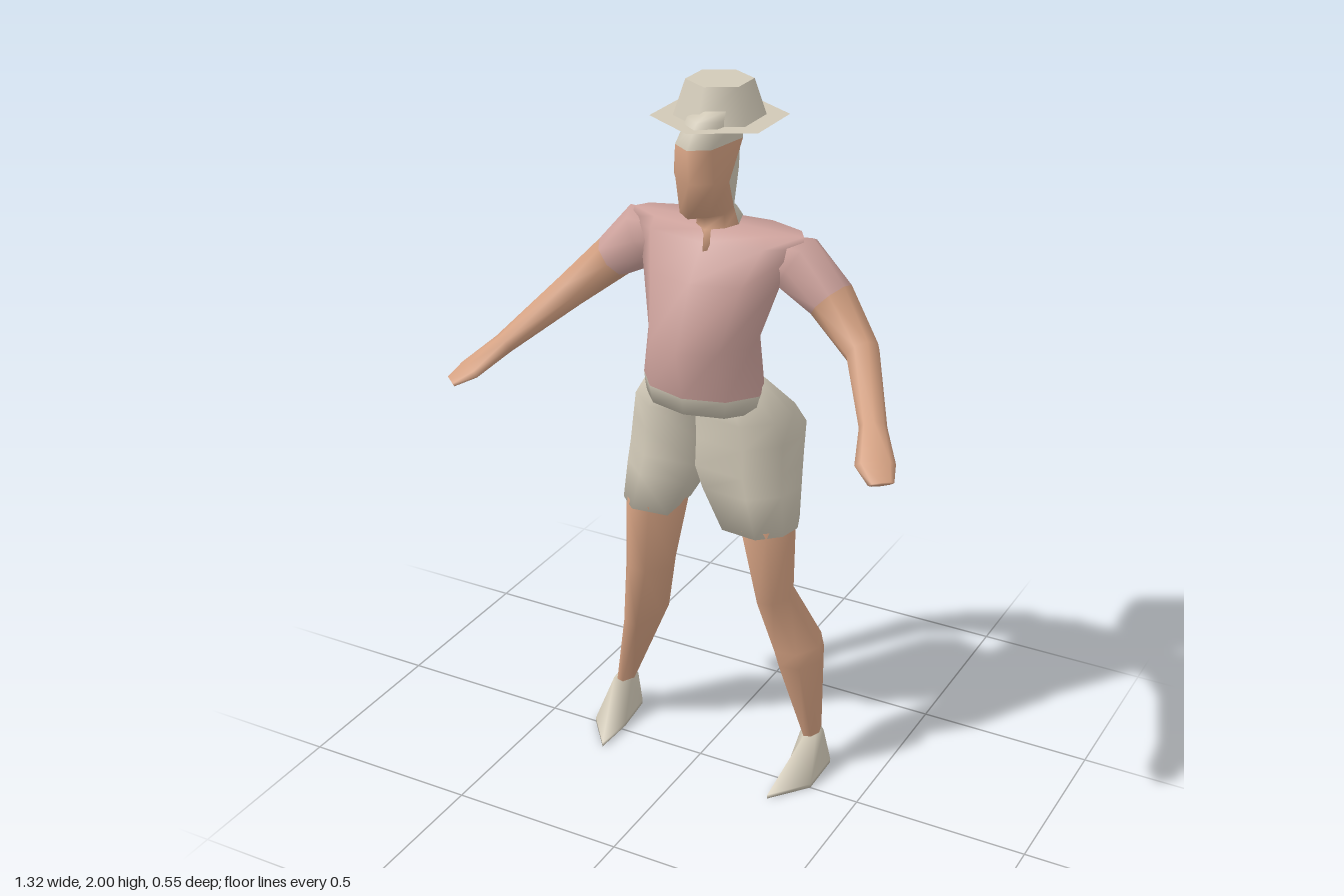
import * as THREE from 'three';

const mat = (name, color) => Object.assign(new THREE.MeshStandardMaterial({ color }), { name });

// Smooth capped skin over rings of points; pick(row, side) returns a material index.
function loft(name, rings, mats, pick = () => 0) {
  const n = rings[0].length, last = rings.length - 1;
  const pts = rings.flat();
  const faces = mats.map(() => []);
  rings.slice(0, last).forEach((_, i) => {
    for (let j = 0; j < n; j++) {
      const a = i * n + j, b = i * n + (j + 1) % n;
      faces[pick(i, j)].push([a, b, b + n], [a, b + n, a + n]);
    }
  });
  // end caps
  for (const i of [0, last]) {
    const c = new THREE.Vector3();
    rings[i].forEach(p => c.addScaledVector(p, 1 / n));
    const k = pts.push(c) - 1;
    for (let j = 0; j < n; j++) {
      const a = i * n + j, b = i * n + (j + 1) % n;
      faces[pick(i ? last - 1 : 0, j)].push(i ? [a, b, k] : [b, a, k]);
    }
  }
  // turn all faces outward
  let volume = 0;
  const v = new THREE.Vector3();
  faces.flat().forEach(([a, b, c]) => { volume += v.crossVectors(pts[a], pts[b]).dot(pts[c]); });
  if (volume < 0) faces.flat().forEach(f => f.reverse());
  const geo = new THREE.BufferGeometry().setFromPoints(pts);
  geo.setIndex(faces.flat(2));
  let start = 0;
  faces.forEach((f, m) => { geo.addGroup(start, f.length * 3, m); start += f.length * 3; });
  geo.computeVertexNormals();
  const mesh = new THREE.Mesh(geo, mats);
  mesh.name = name;
  return mesh;
}

// Level ring: a unit outline stretched to the given bounds.
const level = (shape, s = 1) => ([y, x0, x1, z0, z1]) => shape.map(([u, w]) => new THREE.Vector3(
  s * ((x0 + x1) / 2 + u * (x1 - x0) / 2), y, (z0 + z1) / 2 + w * (z1 - z0) / 2));

// Rings square to a path of [x, y, z, thickness radius, width radius].
function pathRings(stations, s, sides = 8) {
  const p = stations.map(([x, y, z]) => new THREE.Vector3(x, y, z));
  return stations.map(([, , , ra, rb], i) => {
    const t = p[Math.min(i + 1, p.length - 1)].clone().sub(p[Math.max(i - 1, 0)]).normalize();
    const side = new THREE.Vector3(0, 1, 0).cross(t).normalize();
    const up = t.clone().cross(side);
    return Array.from({ length: sides }, (_, j) => {
      const a = j / sides * Math.PI * 2;
      const q = p[i].clone().addScaledVector(up, ra * Math.cos(a)).addScaledVector(side, rb * Math.sin(a));
      q.x *= s;
      return q;
    });
  });
}

export function createModel() {
  const skin = mat('skin', 0xd3a081);
  const shirt = mat('shirt pink', 0xcda29c);
  const cream = mat('cream', 0xd2cab8);
  const brimMat = mat('brim cream', 0xd0c8b6);
  brimMat.side = THREE.DoubleSide;
  const model = new THREE.Group();
  model.name = 'standingFigure';

  // Torso with the waistband below the shirt
  const torsoShape = [[0, 1], [.65, .72], [1, .05], [.9, -.5], [.5, -1], [0, -.92],
    [-.5, -1], [-.9, -.5], [-1, .05], [-.65, .72]];
  model.add(loft('torso', [
    [1.14, -.165, .165, -.10, .095],
    [1.19, -.175, .175, -.125, .105],
    [1.33, -.155, .155, -.145, .138],
    [1.50, -.205, .205, -.19, .065],
    [1.59, -.255, .255, -.18, -.005],
    [1.62, -.25, .25, -.168, -.03],
  ].map(level(torsoShape)), [shirt, cream], i => (i === 0 ? 1 : 0)));

  // Neck and head: y, centre x, half width, back z, front z, hairline z
  const headRings = [
    [1.575, .015, .03, -.15, .015, -.08],
    [1.62, 0, .06, -.17, -.02, -.10],
    [1.655, 0, .055, -.14, -.025, -.09],
    [1.67, -.01, .06, -.125, .05, -.09],
    [1.77, .003, .08, -.115, .07, 0],
    [1.86, 0, .075, -.135, .072, -.09],
    [1.92, .005, .066, -.145, .03, -.08],
    [1.942, .025, .04, -.12, .018, -.06],
  ].map(([y, cx, w, z0, z1, s]) => [[0, z1], [.7, z1 - .035], [1, s], [.6, z0],
    [-.6, z0], [-1, s], [-.7, z1 - .035]].map(([u, z]) => new THREE.Vector3(cx + u * w, y, z)));
  model.add(loft('head', headRings, [skin, cream],
    (i, j) => (i >= 5 || (j >= 2 && j <= 4) ? 1 : 0)));

  // Six-sided hat with a flat brim
  const hat = new THREE.Group();
  hat.name = 'hat';
  const crown = new THREE.Mesh(new THREE.CylinderGeometry(.088, .12, .095, 6), cream);
  crown.name = 'hatCrown';
  crown.position.y = .0475;
  const brim = new THREE.Mesh(
    new THREE.RingGeometry(.1, .18, 6, 1, Math.PI / 2).rotateX(-Math.PI / 2), brimMat);
  brim.name = 'hatBrim';
  hat.add(crown, brim);
  hat.position.set(0, 1.905, -.105);
  model.add(hat);

  const shortsShape = [[-1, .9], [.2, 1], [.85, .5], [1, -.1], [.75, -.65], [.05, -1], [-.6, -.8], [-1, -.4]];
  const legShape = [[-.3, 1], [.5, .85], [1, .1], [.6, -.8], [0, -1], [-.7, -.7], [-1, .1]];
  const footShape = [[.27, .105], [.355, 0], [.352, -.14], [.32, -.19], [.28, -.15], [.265, -.02]];
  const ankleShape = [[.3, -.062], [.333, -.075], [.337, -.12], [.31, -.148], [.282, -.13], [.28, -.085]];
  const legs = {
    left: [
      [.11, .285, .332, -.143, -.067], [.36, .19, .33, -.20, -.02], [.41, .175, .328, -.188, -.012],
      [.56, .14, .247, -.147, 0], [.80, .09, .256, -.165, .042]],
    right: [
      [.11, .283, .335, -.143, -.067], [.36, .18, .30, -.20, -.02],
      [.56, .125, .277, -.147, 0], [.80, .073, .264, -.165, .042]],
  };

  for (const [side, s] of [['left', 1], ['right', -1]]) {
    // Arm: sleeve, bare arm and flat hand
    model.add(loft(side + 'Arm', pathRings([
      [.17, 1.55, -.11, .06, .06],
      [.225, 1.54, -.11, .088, .07],
      [.325, 1.457, -.11, .062, .068],
      [.44, 1.35, -.062, .052, .046],
      [.55, 1.235, .11, .026, .036],
      [.60, 1.185, .205, .016, .052],
      [.635, 1.158, .245, .007, .034],
    ], s), [shirt, skin], i => (i < 2 ? 0 : 1)));

    // Half of the shorts, meeting its mirror at the middle
    model.add(loft(side + 'Shorts', [
      [.785, .085, .262, -.168, .045],
      [.90, .025, .256, -.215, .048],
      [.96, 0, .252, -.24, .045],
      [1.04, 0, .247, -.265, .04],
      [1.11, 0, .23, -.21, .04],
      [1.20, 0, .168, -.125, .04],
    ].map(level(shortsShape, s)), [cream]));

    model.add(loft(side + 'Leg', legs[side].map(level(legShape, s)), [skin]));

    // Wedge shoe
    model.add(loft(side + 'Shoe', [[footShape, 0], [footShape, .012], [ankleShape, .12]].map(([shape, y]) =>
      shape.map(([x, z]) => new THREE.Vector3(s * x, y, z))), [cream]));
  }
  return model;
}
